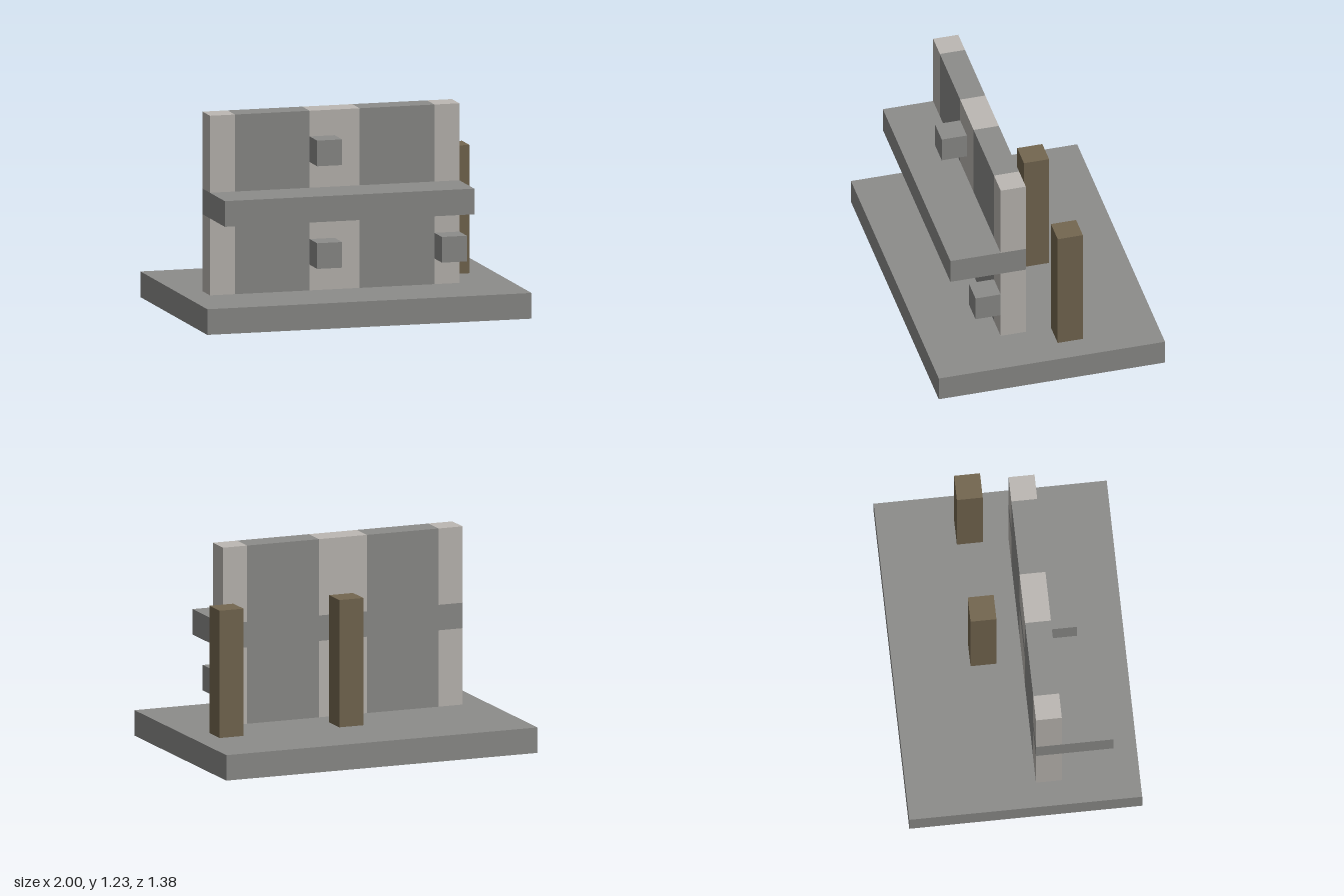
import * as THREE from 'three';

const U = 2 / 13; // one block

const stone = new THREE.MeshStandardMaterial({ color: 0x8c8c8a });
stone.name = 'grey stone';
const pale = new THREE.MeshStandardMaterial({ color: 0xbcb8b3 });
pale.name = 'pale stone';
const wood = new THREE.MeshStandardMaterial({ color: 0x746750 });
wood.name = 'brown wood';

// Box between two corners, given in blocks
function block(name, material, [x0, x1], [y0, y1], [z0, z1]) {
  const geometry = new THREE.BoxGeometry((x1 - x0) * U, (y1 - y0) * U, (z1 - z0) * U);
  const mesh = new THREE.Mesh(geometry, material);
  mesh.name = name;
  mesh.position.set((x0 + x1) / 2 * U, (y0 + y1) / 2 * U, (z0 + z1) / 2 * U);
  return mesh;
}

export function createModel() {
  const model = new THREE.Group();
  model.name = 'shelfWall';

  // Floor slab
  model.add(block('base', stone, [-6.5, 6.5], [0, 1], [-4.5, 4.5]));

  // Striped wall, below and above the shelf
  const wall = new THREE.Group();
  wall.name = 'wall';
  const edges = [-5.5, -4.5, -1.5, 0.5, 3.5, 4.5];
  for (const [level, rows] of [['lower', [1, 4]], ['upper', [5, 8]]]) {
    for (let i = 0; i < 5; i++) {
      const isPale = i % 2 === 0;
      wall.add(block(level + (isPale ? 'PalePanel' : 'GreyPanel'), isPale ? pale : stone,
        [edges[i], edges[i + 1]], rows, [0.5, 1.5]));
    }
  }
  model.add(wall);

  // Shelf running through the wall
  model.add(block('shelf', stone, [-5.5, 4.5], [4, 5], [0.5, 3.5]));

  // Blocks sticking out of the wall front
  for (const [x, y] of [[-1.5, 6], [-1.5, 2], [3.5, 2]]) {
    model.add(block('wallKnob', stone, [x, x + 1], [y, y + 1], [1.5, 2.5]));
  }

  // Wooden posts behind the wall
  for (const x of [-0.5, 4.5]) {
    model.add(block('post', wood, [x, x + 1], [1, 6], [-1.5, -0.5]));
  }

  return model;
}
